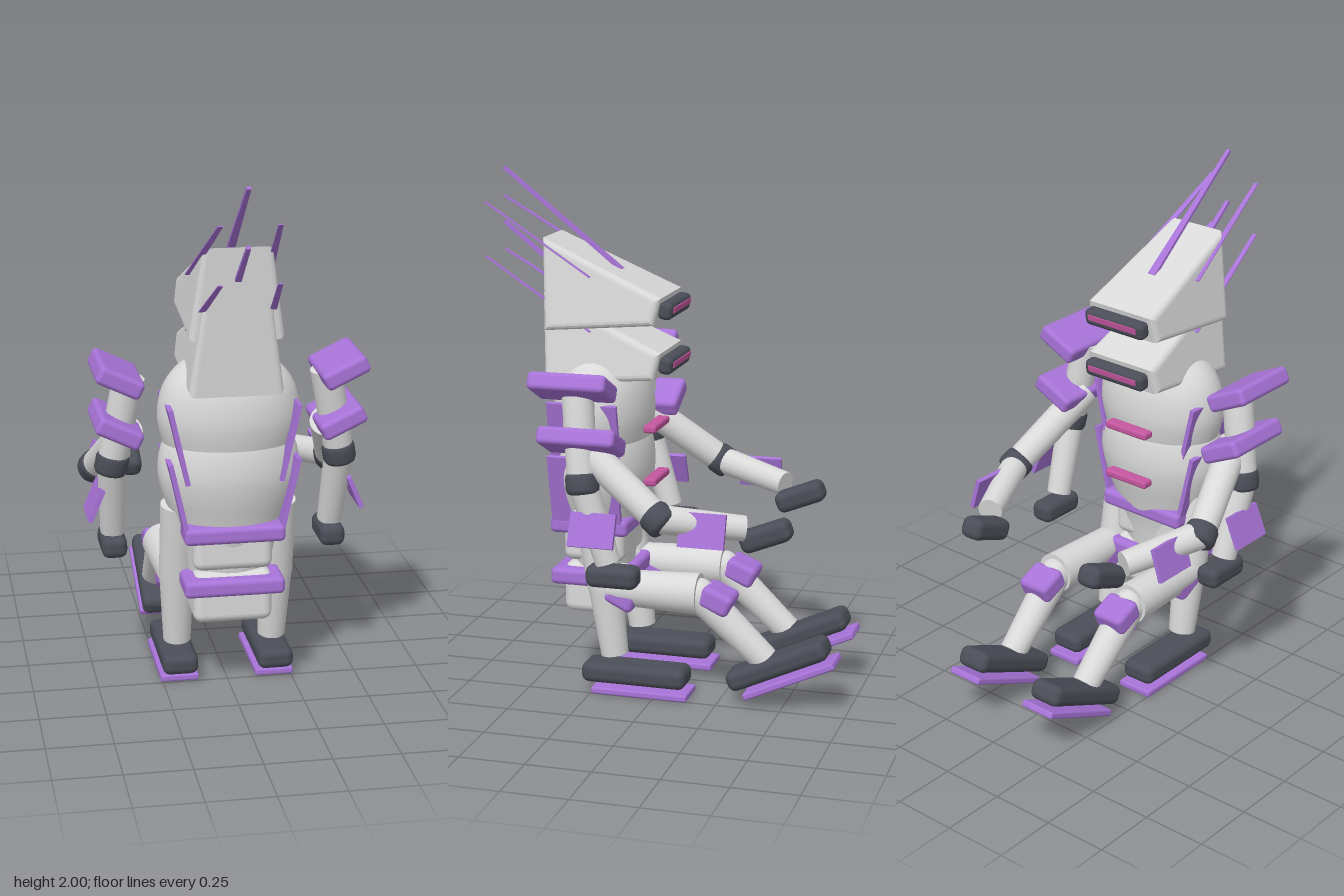
import * as THREE from 'three';
import { RoundedBoxGeometry } from 'three/addons/geometries/RoundedBoxGeometry.js';

const mat = (name, color) => Object.assign(new THREE.MeshStandardMaterial({ color }), { name });
const shell = mat('pale shell', 0xd9d9d9);
const purple = mat('purple armour', 0xa874d8);
const dark = mat('dark joints', 0x4b4e58);
const pink = mat('pink light', 0xc4569f);

function add(parent, name, geo, material, pos = [0, 0, 0], rot = [0, 0, 0]) {
  const m = new THREE.Mesh(geo, material);
  m.name = name;
  m.position.set(...pos);
  m.rotation.set(...rot);
  parent.add(m);
  return m;
}

const rbox = (w, h, d, r) => new RoundedBoxGeometry(w, h, d, 3, r);

// Round limb between two points
function limb(parent, name, a, b, ra, rb, material = shell) {
  const p = new THREE.Vector3(...a), q = new THREE.Vector3(...b);
  const d = q.clone().sub(p);
  const m = add(parent, name, new THREE.CylinderGeometry(rb, ra, d.length(), 24), material);
  m.position.copy(p).add(q).multiplyScalar(0.5);
  m.quaternion.setFromUnitVectors(new THREE.Vector3(0, 1, 0), d.normalize());
  return m;
}

// Short rounded cuff centred on a joint and turned along a direction
function cuff(parent, name, pos, dir, r, h) {
  const e = 0.02, pts = [[0, -h / 2], [r - e, -h / 2], [r - e * 0.3, -h / 2 + e * 0.3], [r, -h / 2 + e],
    [r, h / 2 - e], [r - e * 0.3, h / 2 - e * 0.3], [r - e, h / 2], [0, h / 2]];
  const geo = new THREE.LatheGeometry(pts.map(p => new THREE.Vector2(...p)), 24);
  const m = add(parent, name, geo, dark, pos);
  m.quaternion.setFromUnitVectors(new THREE.Vector3(0, 1, 0), new THREE.Vector3(...dir).normalize());
}

// Flat tapered spike
function spike(parent, a, b, w0, w1, t) {
  const p = new THREE.Vector3(...a), q = new THREE.Vector3(...b);
  const d = q.clone().sub(p), len = d.length();
  const geo = new THREE.BoxGeometry(1, len, t);
  const v = geo.attributes.position;
  for (let i = 0; i < v.count; i++) v.setX(i, v.getX(i) * (v.getY(i) > 0 ? w1 : w0));
  geo.computeVertexNormals();
  const m = add(parent, 'crestSpike', geo, purple);
  m.position.copy(p).add(q).multiplyScalar(0.5);
  m.quaternion.setFromUnitVectors(new THREE.Vector3(0, 1, 0), d.normalize());
}

// Wedge helmet: bevelled side profile, narrowing towards the top
function helmetGeometry() {
  const e = 0.025;
  const pts = [[0.425, 1.427], [0.04, 1.46], [0.025, 1.525], [0.06, 1.54], [0.447, 1.718]];
  const s = new THREE.Shape(pts.map(([z, y]) => new THREE.Vector2(-z, y)));
  const geo = new THREE.ExtrudeGeometry(s, {
    depth: 0.3, bevelEnabled: true, bevelSize: e, bevelThickness: e, bevelSegments: 4,
  });
  geo.translate(0, 0, -0.15);
  geo.rotateY(Math.PI / 2);
  const v = geo.attributes.position;
  for (let i = 0; i < v.count; i++) {
    const k = (v.getY(i) - 1.4) / 0.35;
    v.setX(i, v.getX(i) * (1.015 - 0.3 * k));
  }
  geo.computeVertexNormals();
  return geo;
}

// Head, trunk and armour shared by both figures
function body() {
  const g = new THREE.Group();
  add(g, 'helmet', helmetGeometry(), shell);
  add(g, 'visor', rbox(0.28, 0.066, 0.055, 0.02), dark, [0, 1.49, -0.017], [-0.15, 0, 0]);
  add(g, 'visorLight', new THREE.BoxGeometry(0.23, 0.022, 0.008), pink, [0, 1.493, -0.045], [-0.15, 0, 0]);
  spike(g, [0, 1.62, 0.19], [0, 1.995, 0.66], 0.034, 0.016, 0.012);
  for (const s of [-1, 1]) spike(g, [s * 0.148, 1.61, 0.27], [s * 0.105, 1.873, 0.70], 0.03, 0.018, 0.004);

  // Barrel torso, flattened front to back
  const curve = new THREE.SplineCurve([[0.15, 0.64], [0.175, 0.77], [0.215, 0.89], [0.252, 0.99], [0.268, 1.08],
    [0.25, 1.18], [0.2, 1.255], [0.12, 1.305], [0, 1.315]].map(p => new THREE.Vector2(...p)));
  const torso = add(g, 'torso', new THREE.LatheGeometry(curve.getPoints(32), 40), shell, [0, 0, 0.262]);
  torso.scale.z = 0.7;
  add(g, 'chestLight', rbox(0.2, 0.03, 0.05, 0.01), pink, [0, 1.025, 0.055]);
  for (const s of [-1, 1])
    add(g, 'flankPlate', new THREE.BoxGeometry(0.018, 0.297, 0.275), purple, [s * 0.207, 0.995, 0.28], [0, 0, -s * 0.22]);
  add(g, 'belt', rbox(0.38, 0.066, 0.31, 0.02), purple, [0, 0.648, 0.275]);
  add(g, 'pelvis', rbox(0.3, 0.2, 0.24, 0.035), shell, [0, 0.595, 0.27]);
  return g;
}

// Arm and leg for one side, described by joint positions
function limbs(parent, s, p) {
  const at = ([x, y, z]) => [s * x, y, z];
  const dir = (a, b) => at([b[0] - a[0], b[1] - a[1], b[2] - a[2]]);
  add(parent, 'shoulderPad', rbox(0.178, 0.068, 0.3, 0.018), purple, at(p.pad), [p.padTilt, 0, s * 0.45]);
  limb(parent, 'upperArm', at(p.shoulder), at(p.elbow), 0.06, 0.056);
  cuff(parent, 'elbow', at(p.elbow), dir(p.shoulder, p.elbow), 0.063, 0.085);
  limb(parent, 'forearm', at(p.elbow), at(p.wrist), 0.055, 0.048);
  add(parent, 'forearmPlate', new THREE.BoxGeometry(0.018, 0.13, 0.175), purple, at(p.plate), [0, 0, s * p.plateTilt]);
  add(parent, 'hand', rbox(0.097, 0.084, 0.2, 0.03), dark, at(p.hand), [p.handTilt, 0, 0]);

  limb(parent, 'thigh', at(p.hip), at(p.knee), 0.068, p.kneeR);
  add(parent, 'kneeJoint', new THREE.SphereGeometry(0.062, 20, 14), shell, at(p.knee));
  add(parent, 'kneePad', rbox(0.138, 0.085, 0.125, 0.022), purple, at(p.kneePad), [p.kneeTilt, 0, 0]);
  limb(parent, 'shin', at(p.knee), at(p.ankle), 0.066, 0.053);

  const foot = new THREE.Group();
  foot.name = 'foot';
  foot.position.set(...at(p.foot));
  foot.rotation.x = p.footTilt;
  add(foot, 'boot', rbox(0.138, 0.08, 0.415, 0.03), dark);
  add(foot, 'sole', rbox(0.148, 0.027, 0.382, 0.008), purple, [0, -0.066, -0.027]);
  parent.add(foot);
}

const standing = {
  pad: [0.418, 1.245, 0.255], padTilt: 0,
  shoulder: [0.37, 1.23, 0.25], elbow: [0.433, 0.888, 0.213], wrist: [0.422, 0.59, 0.12],
  plate: [0.495, 0.728, 0.158], plateTilt: 0.4,
  hand: [0.422, 0.538, 0.1], handTilt: 0,
  hip: [0.19, 0.73, 0.26], knee: [0.19, 0.42, 0.205], kneeR: 0.068, ankle: [0.185, 0.15, 0.17],
  kneePad: [0.188, 0.395, 0.13], kneeTilt: -0.45,
  foot: [0.185, 0.08, 0.083], footTilt: 0,
};

const seated = {
  pad: [0.418, 1.043, 0.222], padTilt: 0,
  shoulder: [0.375, 1.02, 0.235], elbow: [0.465, 0.782, -0.087], wrist: [0.335, 0.735, -0.38],
  plate: [0.455, 0.748, -0.25], plateTilt: 0.3,
  hand: [0.292, 0.702, -0.452], handTilt: 0.38,
  hip: [0.19, 0.42, 0.18], knee: [0.19, 0.42, -0.17], kneeR: 0.08, ankle: [0.187, 0.18, -0.43],
  kneePad: [0.19, 0.41, -0.245], kneeTilt: -0.4,
  foot: [0.185, 0.172, -0.48], footTilt: 0.43,
};

export function createModel() {
  const model = new THREE.Group();
  // A standing figure and a seated one sharing the same spot
  for (const [name, pose, drop] of [['standingFigure', standing, 0], ['seatedFigure', seated, 0.208]]) {
    const figure = new THREE.Group();
    figure.name = name;
    const trunk = body();
    trunk.name = 'trunk';
    trunk.position.y = -drop;
    figure.add(trunk);
    for (const s of [-1, 1]) limbs(figure, s, pose);
    model.add(figure);
  }
  return model;
}
